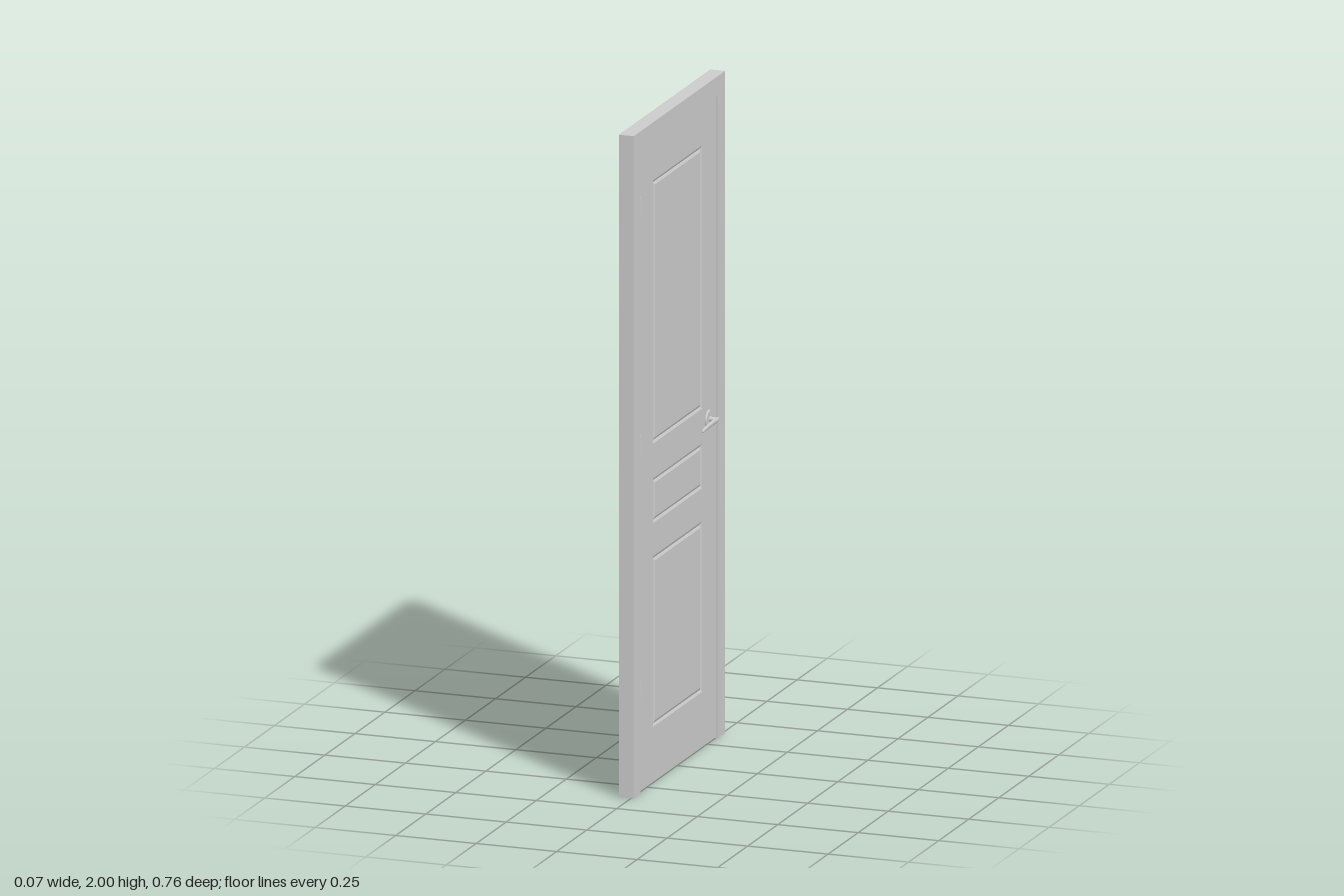
import * as THREE from 'three';

const grey = new THREE.MeshStandardMaterial({ color: 0xcccccc });
const flat = new THREE.MeshStandardMaterial({ color: 0xcccccc, flatShading: true });

// Depths, measured from the wall side to the handle side
const FRAME_BACK = -0.038, FRAME_FRONT = 0.008;
const LEAF_BACK = -0.021, LEAF_FRONT = 0.002;

function add(parent, name, geometry, material = flat) {
  const mesh = new THREE.Mesh(geometry, material);
  mesh.name = name;
  parent.add(mesh);
  return mesh;
}

// Skins a list of equal-length point rings and caps both ends
function loft(rings) {
  const n = rings[0].length, pos = [], index = [];
  rings.forEach(r => r.forEach(p => pos.push(...p)));
  for (let i = 0; i < rings.length - 1; i++) {
    for (let j = 0; j < n; j++) {
      const a = i * n + j, b = i * n + (j + 1) % n;
      index.push(a, a + n, b, b, a + n, b + n);
    }
  }
  const last = (rings.length - 1) * n;
  for (let j = 1; j < n - 1; j++) {
    index.push(0, j, j + 1, last, last + j + 1, last + j);
  }
  const g = new THREE.BufferGeometry();
  g.setAttribute('position', new THREE.Float32BufferAttribute(pos, 3));
  g.setIndex(index);
  g.computeVertexNormals();
  return g;
}

// Upside-down U profile with square corners, open at the floor
function surround(outer, top, inner, innerTop, back, front) {
  const s = new THREE.Shape([
    [-outer, 0], [-inner, 0], [-inner, innerTop], [inner, innerTop],
    [inner, 0], [outer, 0], [outer, top], [-outer, top],
  ].map(p => new THREE.Vector2(...p)));
  return new THREE.ExtrudeGeometry(s, { depth: front - back, bevelEnabled: false }).translate(0, 0, back);
}

const rect = (x, y0, y1, z) => [[-x, y0, z], [x, y0, z], [x, y1, z], [-x, y1, z]];

function createLeaf(door) {
  const halfWidth = 0.205;
  const panels = [[0.17, 0.685], [0.785, 0.92], [1.025, 1.82]];
  const outline = new THREE.Shape(rect(0.319, 0.004, 1.937, 0).map(p => new THREE.Vector2(p[0], p[1])));
  for (const [y0, y1] of panels) {
    outline.holes.push(new THREE.Path(rect(halfWidth, y0, y1, 0).reverse().map(p => new THREE.Vector2(p[0], p[1]))));
  }
  const leaf = new THREE.ExtrudeGeometry(outline, { depth: LEAF_FRONT - LEAF_BACK, bevelEnabled: false });
  add(door, 'doorLeaf', leaf.translate(0, 0, LEAF_BACK));

  // Panels with a V groove around the edge on both faces
  const w = 0.008, d = 0.004;
  const steps = [
    [2 * w, LEAF_FRONT], [w, LEAF_FRONT - d], [0, LEAF_FRONT],
    [0, LEAF_BACK], [w, LEAF_BACK + d], [2 * w, LEAF_BACK],
  ];
  for (const [y0, y1] of panels) {
    add(door, 'groovedPanel', loft(steps.map(([i, z]) => rect(halfWidth - i, y0 + i, y1 - i, z))));
  }
}

function createHandle() {
  const handle = new THREE.Group();
  handle.name = 'handle';
  handle.position.set(0.256, 0.981, 0);

  // Round plate with a softened rim
  const plate = [[0, 0], [0.027, 0], [0.027, 0.003], [0.025, 0.005], [0, 0.005]].map(p => new THREE.Vector2(...p));
  add(handle, 'handlePlate', new THREE.LatheGeometry(plate, 32).rotateX(Math.PI / 2).translate(0, 0, LEAF_FRONT), flat);
  const neck = new THREE.CylinderGeometry(0.0065, 0.0075, 0.03, 20).rotateX(Math.PI / 2);
  add(handle, 'handleNeck', neck.translate(0, 0, 0.018), grey);

  // Lever sections: x, y, z, half height, half depth
  const sections = [
    [0.007, 0, 0.029, 0.007, 0.005], [-0.01, 0.001, 0.0305, 0.0085, 0.0052],
    [-0.04, 0.002, 0.0315, 0.008, 0.005], [-0.075, 0.001, 0.0315, 0.007, 0.005],
    [-0.105, -0.001, 0.031, 0.006, 0.0045], [-0.12, -0.003, 0.031, 0.005, 0.004],
    [-0.128, -0.004, 0.032, 0.003, 0.002],
  ];
  const lever = loft(sections.map(([x, y, z, h, d]) => Array.from({ length: 16 }, (_, k) => {
    const a = k / 16 * Math.PI * 2;
    return [x, y + Math.cos(a) * h, z + Math.sin(a) * d];
  })));
  add(handle, 'handleLever', lever, grey);
  return handle;
}

export function createModel() {
  const model = new THREE.Group();
  model.name = 'panelDoor';

  // Built facing local +z, then turned so the handle side faces +x
  const door = new THREE.Group();
  door.name = 'door';
  door.rotation.y = Math.PI / 2;
  model.add(door);

  add(door, 'doorFrame', surround(0.38, 2, 0.322, 1.94, FRAME_BACK, FRAME_FRONT));
  add(door, 'doorStop', surround(0.323, 1.941, 0.31, 1.928, -0.03, LEAF_BACK));
  createLeaf(door);

  // Hinge barrels
  for (const y of [0.31, 1.05, 1.77]) {
    const barrel = new THREE.CylinderGeometry(0.0045, 0.0045, 0.06, 16);
    add(door, 'hinge', barrel.translate(-0.319, y, 0.0035), flat);
  }

  door.add(createHandle());
  return model;
}
